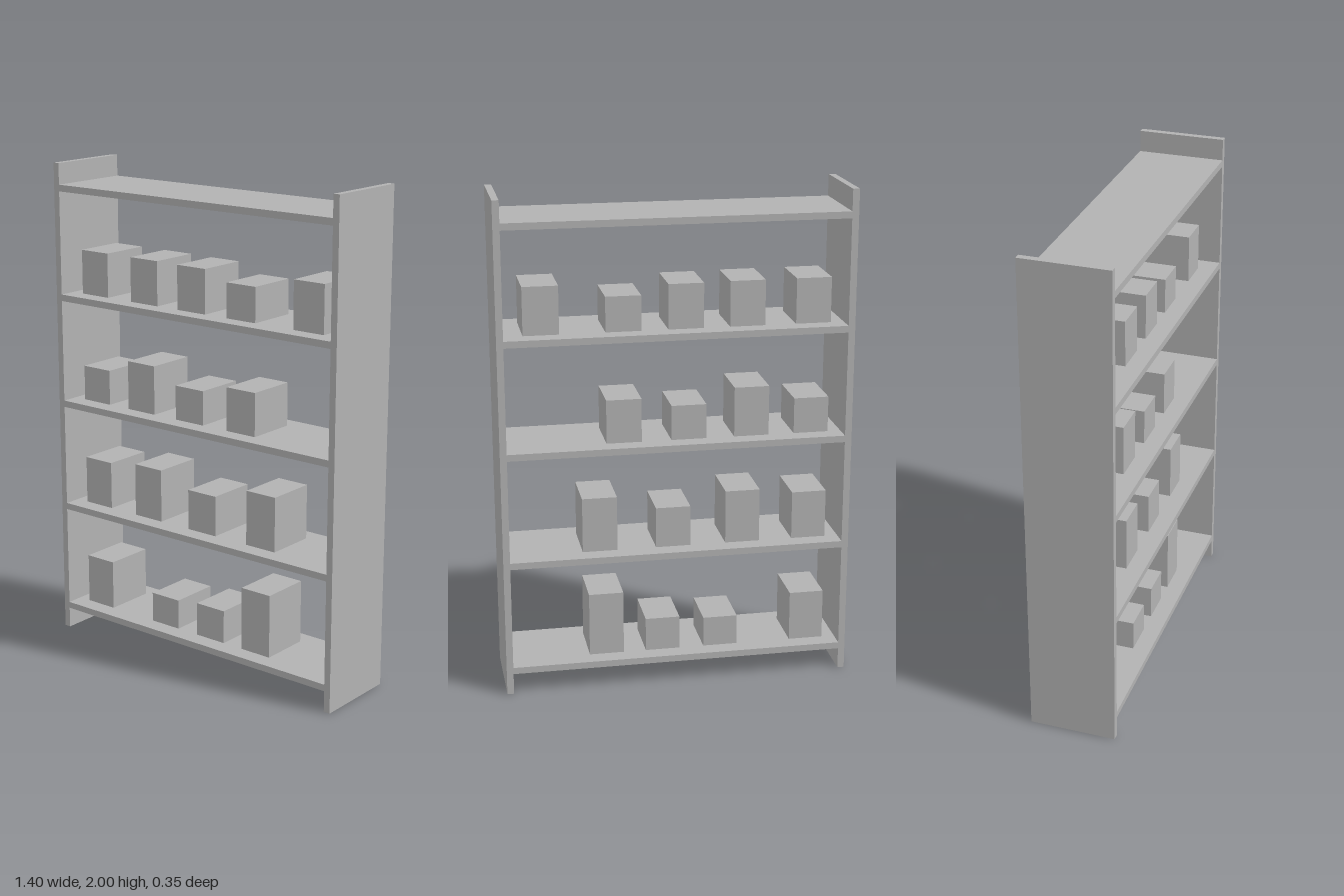
import * as THREE from 'three';

const HEIGHT = 2, WIDTH = 1.4, DEPTH = 0.35, BOARD = 0.027;
const BOX_WIDTH = 0.14, BOX_DEPTH = 0.21;

// Each shelf: its centre height, and the boxes on it as [x, top height]
const SHELVES = [
  { y: 0.1, boxes: [[-0.55, 0.32], [-0.187, 0.238], [0.053, 0.252], [0.284, 0.376]] },
  { y: 0.55, boxes: [[-0.55, 0.761], [-0.275, 0.783], [0.009, 0.73], [0.306, 0.788]] },
  { y: 1.0, boxes: [[-0.55, 1.158], [-0.307, 1.215], [-0.054, 1.154], [0.205, 1.19]] },
  { y: 1.45, boxes: [[-0.55, 1.645], [-0.286, 1.645], [-0.042, 1.643], [0.204, 1.604], [0.523, 1.655]] },
  { y: 1.9, boxes: [] },
];

export function createModel() {
  const model = new THREE.Group();
  model.name = 'stockedShelf';
  const grey = new THREE.MeshStandardMaterial({ color: 0xb2b2b2 });
  grey.name = 'grey';

  const addBox = (parent, name, w, h, d, x, y) => {
    const mesh = new THREE.Mesh(new THREE.BoxGeometry(w, h, d), grey);
    mesh.name = name;
    mesh.position.set(x, y, 0);
    parent.add(mesh);
  };

  // Upright side panels
  for (const [name, side] of [['leftPanel', 1], ['rightPanel', -1]]) {
    addBox(model, name, BOARD, HEIGHT, DEPTH, side * (WIDTH - BOARD) / 2, HEIGHT / 2);
  }

  // Shelf boards with the boxes standing on them
  SHELVES.forEach(({ y, boxes }, i) => {
    const level = new THREE.Group();
    level.name = `level${i + 1}`;
    addBox(level, 'shelfBoard', WIDTH - 2 * BOARD, BOARD, DEPTH, 0, y);
    const base = y + BOARD / 2;
    boxes.forEach(([x, top], j) => {
      addBox(level, `storedBox${j + 1}`, BOX_WIDTH, top - base, BOX_DEPTH, x, (top + base) / 2);
    });
    model.add(level);
  });

  return model;
}
